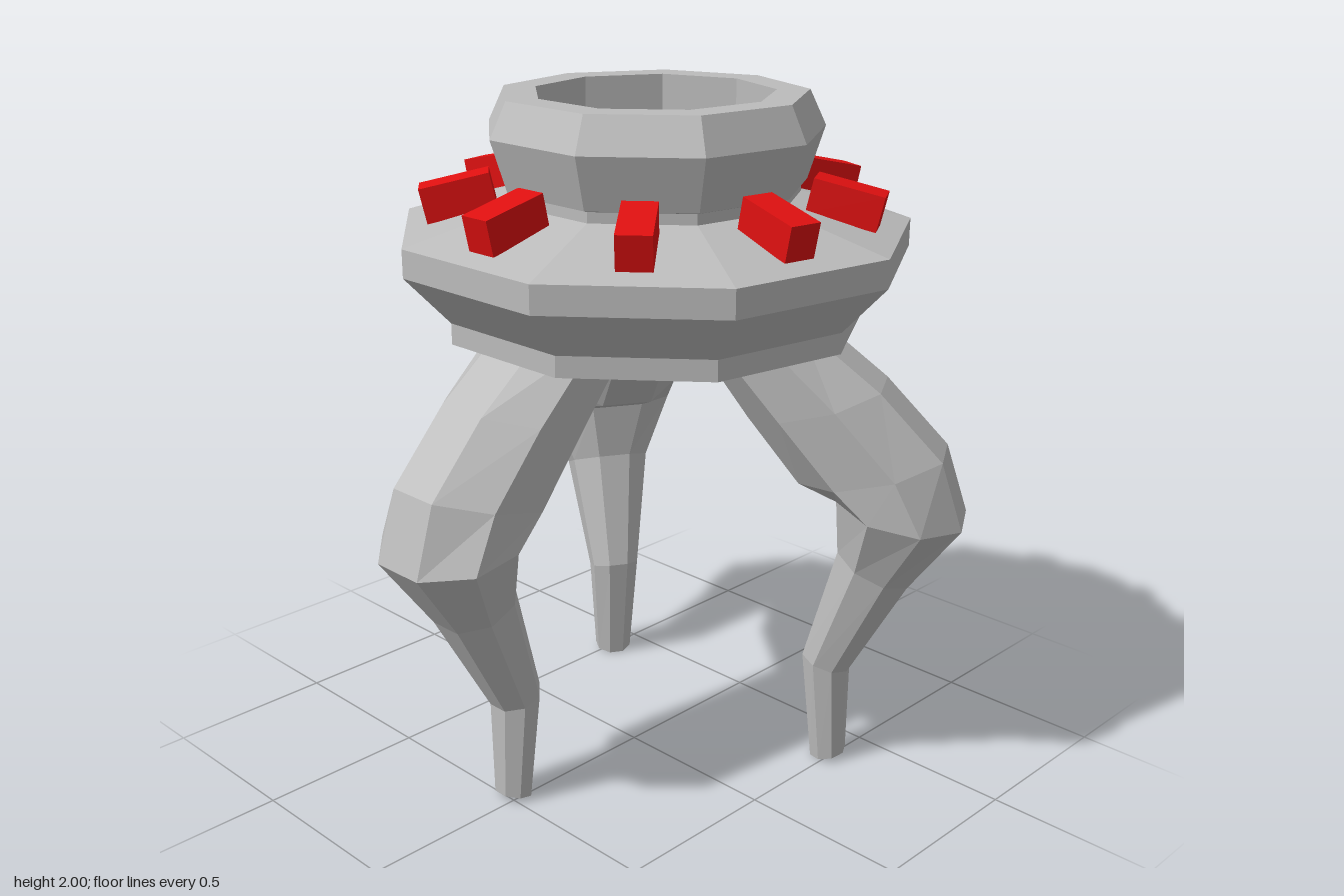
import * as THREE from 'three';

const SIDES = 9;
const STEP = (Math.PI * 2) / SIDES;

// Gives every face its own flat normal
function faceted(geometry) {
  const flat = geometry.toNonIndexed();
  flat.computeVertexNormals();
  return flat;
}

// Leg stations, top to foot: outer [r, y], inner [r, y], half width, sideways offset
const LEG_RINGS = [
  [[0.45, 1.40], [0.12, 1.38], 0.19, -0.052],
  [[0.68, 1.22], [0.31, 1.12], 0.195, -0.05],
  [[0.86, 1.03], [0.46, 0.93], 0.195, -0.043],
  [[0.925, 0.83], [0.57, 0.885], 0.202, -0.04],
  [[0.78, 0.62], [0.575, 0.71], 0.125, -0.03],
  [[0.615, 0.31], [0.48, 0.35], 0.075, -0.018],
  [[0.615, 0.025], [0.515, 0.004], 0.055, -0.018],
];

// Bent, tapering octagonal leg pointing towards +z
function legGeometry() {
  const n = 8;
  const k = 1 / Math.cos(Math.PI / n);
  const positions = [];
  const index = [];
  for (const [outer, inner, halfWidth, offset] of LEG_RINGS) {
    const cz = (outer[0] + inner[0]) / 2, az = (outer[0] - inner[0]) / 2;
    const cy = (outer[1] + inner[1]) / 2, ay = (outer[1] - inner[1]) / 2;
    for (let j = 0; j < n; j++) {
      const t = ((j + 0.5) / n) * Math.PI * 2;
      const c = Math.cos(t) * k, s = Math.sin(t) * k;
      positions.push(offset + halfWidth * s, cy + ay * c, cz + az * c);
    }
  }
  const last = LEG_RINGS.length - 1;
  for (let i = 0; i < last; i++) {
    for (let j = 0; j < n; j++) {
      const a = i * n + j, b = i * n + ((j + 1) % n);
      index.push(a, a + n, b, b, a + n, b + n);
    }
  }
  // Caps at the hip and the foot
  for (let j = 1; j < n - 1; j++) {
    index.push(0, j, j + 1);
    index.push(last * n, last * n + j + 1, last * n + j);
  }
  const geometry = new THREE.BufferGeometry();
  geometry.setAttribute('position', new THREE.Float32BufferAttribute(positions, 3));
  geometry.setIndex(index);
  return faceted(geometry);
}

export function createModel() {
  const grey = new THREE.MeshStandardMaterial({ color: 0xbcbcbc });
  grey.name = 'stone grey';
  const red = new THREE.MeshStandardMaterial({ color: 0xe01010 });
  red.name = 'signal red';

  const model = new THREE.Group();
  model.name = 'threeLeggedPedestal';
  model.position.set(-0.012, 0, -0.09);

  // Nine-sided platform with raised collar and sunken well
  const profile = [
    [0, 1.35], [0.612, 1.35], [0.612, 1.41], [0.742, 1.55], [0.742, 1.63],
    [0.42, 1.715], [0.42, 1.745], [0.437, 1.75], [0.485, 1.9], [0.437, 2.0],
    [0.343, 2.0], [0.343, 1.68], [0, 1.68],
  ].map(([r, y]) => new THREE.Vector2(r, y));
  const platform = new THREE.Mesh(
    faceted(new THREE.LatheGeometry(profile, SIDES, STEP / 2)), grey);
  platform.name = 'platform';
  model.add(platform);

  // One sloping red block on each side of the platform
  const blockGeometry = new THREE.BoxGeometry(0.096, 0.1, 0.2);
  for (let i = 0; i < SIDES; i++) {
    const arm = new THREE.Group();
    arm.name = 'redBlock' + (i + 1);
    arm.rotation.y = i * STEP;
    const block = new THREE.Mesh(blockGeometry, red);
    block.name = 'block';
    block.position.set(0, 1.72, 0.547);
    block.rotation.x = 0.22;
    arm.add(block);
    model.add(arm);
  }

  // Three legs
  const leg = legGeometry();
  ['frontLeg', 'backLeftLeg', 'backRightLeg'].forEach((name, i) => {
    const mesh = new THREE.Mesh(leg, grey);
    mesh.name = name;
    mesh.rotation.y = (i * Math.PI * 2) / 3;
    model.add(mesh);
  });

  const root = new THREE.Group();
  root.name = 'pedestal';
  root.add(model);
  return root;
}
